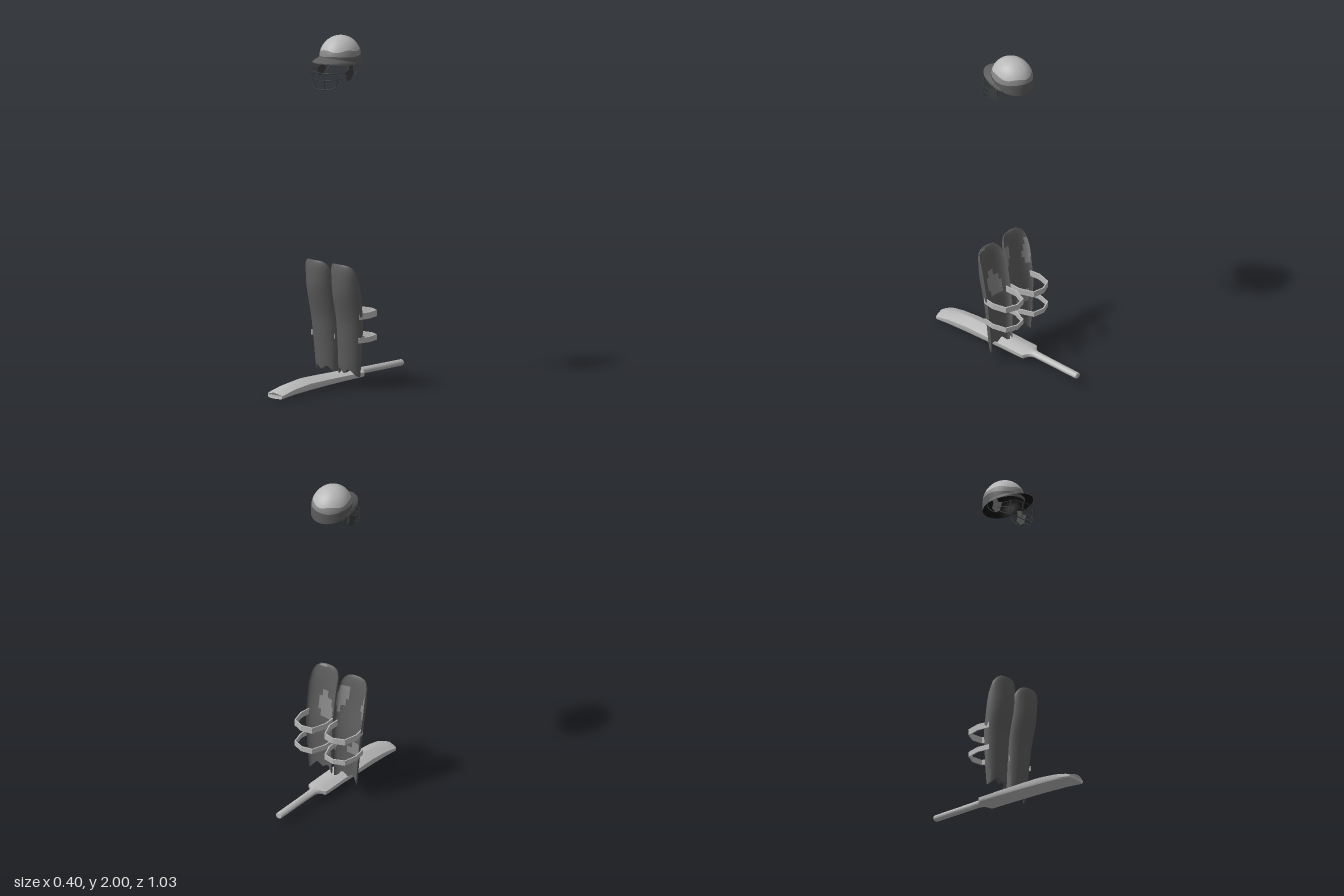
import * as THREE from 'three';
import { toCreasedNormals } from 'three/addons/utils/BufferGeometryUtils.js';

const mat = (name, color, side = THREE.FrontSide) => {
  const m = new THREE.MeshStandardMaterial({ color, side });
  m.name = name;
  return m;
};
const lerp = THREE.MathUtils.lerp;
const range = (n, f) => Array.from({ length: n + 1 }, (_, i) => f(i / n, i));

// Skin through cross-sections; pick() sends a quad to the first or second material
function loft(rings, { caps = true, closed = true, crease = 0.7, pick = () => 0 } = {}) {
  const m = rings[0].length, faces = [[], []];
  const quad = (k, a, b, c, d) => faces[k].push(a, b, c, a, c, d);
  for (let r = 0; r < rings.length - 1; r++) {
    for (let i = 0; i < (closed ? m : m - 1); i++) {
      const j = (i + 1) % m, p = r * m, q = p + m;
      quad(pick(r, i), p + i, p + j, q + j, q + i);
    }
  }
  if (caps) {
    const e = (rings.length - 1) * m;
    for (let i = 0; i < m / 2 - 1; i++) {
      const l = m - 1 - i;
      quad(0, l, l - 1, i + 1, i);
      quad(0, e + i, e + i + 1, e + l - 1, e + l);
    }
  }
  const g = new THREE.BufferGeometry();
  g.setAttribute('position', new THREE.Float32BufferAttribute(rings.flat(2), 3));
  g.setIndex(faces.flat());
  g.addGroup(0, faces[0].length, 0);
  if (faces[1].length) g.addGroup(faces[0].length, faces[1].length, 1);
  else g.clearGroups();
  return toCreasedNormals(g, crease);
}

// Piecewise-linear lookup in rows sorted by their first number
function sample(rows, t) {
  let i = 0;
  while (i < rows.length - 2 && t > rows[i + 1][0]) i++;
  const a = rows[i], b = rows[i + 1], f = (t - a[0]) / (b[0] - a[0]);
  return a.map((v, k) => lerp(v, b[k], f));
}

export function createModel() {
  const model = new THREE.Group();
  const light = mat('light grey', 0xb8b8b8);
  const mid = mat('mid grey', 0x868686);
  const dark = mat('dark grey', 0x5c5c5c);
  const black = mat('black lining', 0x101010);
  const wire = mat('guard metal', 0x3c3c3c, THREE.DoubleSide);
  const add = (parent, name, geo, material) => {
    const mesh = new THREE.Mesh(geo, material);
    mesh.name = name;
    parent.add(mesh);
    return mesh;
  };
  const group = (name) => {
    const g = new THREE.Group();
    g.name = name;
    model.add(g);
    return g;
  };

  // Bat: round handle blending into a ridged blade
  const blade = [[0, 0], [0.6, 0.01], [0.93, 0.06], [1, 0.2], [1, 0.6], [0.55, 0.82], [0, 1]];
  const round = range(6, (t) => [Math.sin(t * Math.PI), 0.5 - 0.5 * Math.cos(t * Math.PI)]);
  // z, half width, bottom, top, blade amount
  const batRows = [
    [-0.515, 0.018, 0.047, 0.078, 0], [-0.51, 0.021, 0.044, 0.081, 0], [-0.3, 0.021, 0.043, 0.081, 0],
    [-0.2, 0.023, 0.042, 0.081, 0], [-0.18, 0.031, 0.041, 0.082, 0.2], [-0.165, 0.045, 0.04, 0.083, 0.6],
    [-0.155, 0.06, 0.038, 0.084, 1], [-0.14, 0.063, 0.037, 0.084, 1], [0, 0.063, 0.033, 0.086, 1],
    [0.15, 0.063, 0.027, 0.087, 1], [0.28, 0.063, 0.02, 0.087, 1], [0.4, 0.063, 0.012, 0.069, 1],
    [0.47, 0.063, 0.005, 0.047, 1], [0.495, 0.061, 0.001, 0.038, 1], [0.503, 0.056, 0, 0.034, 1],
  ];
  const batRings = batRows.map(([z, w, lo, hi, k], r) => {
    const half = blade.map((b, i) => {
      const x = lerp(round[i][0], b[0], k), y = lerp(round[i][1], b[1], k);
      const toe = r > 12 ? 0.009 * (1 - x * x) : 0;
      return [w * x, lerp(lo, hi, y), z + toe];
    });
    return [...half, ...half.map(([x, y, z2]) => [-x, y, z2]).reverse()];
  });
  add(model, 'bat', loft(batRings, { crease: 0.6 }), light);

  // Leg pads: y, half width, front z, back z, centre x
  const padRows = [
    [0.07, 0.076, 0.043, -0.013, 0.087], [0.2, 0.083, 0.051, -0.015, 0.092],
    [0.39, 0.092, 0.068, -0.01, 0.098], [0.55, 0.095, 0.105, 0.014, 0.1],
    [0.62, 0.094, 0.108, 0.028, 0.1], [0.68, 0.088, 0.105, 0.052, 0.1],
    [0.705, 0.075, 0.1, 0.068, 0.1], [0.716, 0.058, 0.097, 0.08, 0.1], [0.72, 0.035, 0.095, 0.088, 0.1],
  ];
  const padLevels = [0.07, 0.13, 0.17, 0.21, 0.25, 0.29, 0.33, 0.37, 0.41, 0.45, 0.49, 0.53, 0.57,
    0.61, 0.65, 0.68, 0.705, 0.716, 0.72];
  const across = range(16, (t) => Math.sin((t - 0.5) * Math.PI));
  const notch = [[0, 0.022], [0.5, 0.048], [1, 0]];
  for (const s of [1, -1]) {
    const pad = group(s > 0 ? 'leftLegPad' : 'rightLegPad');
    const rings = padLevels.map((y) => {
      const [, hw, zf, zb, cx] = sample(padRows, y);
      const point = (u, depth) => {
        const arc = Math.sqrt(Math.max(0, 1 - u * u));
        return [s * cx + hw * u, y + (y < 0.1 ? sample(notch, Math.abs(u))[1] : 0), lerp(zb, zf, arc * depth)];
      };
      return [...across.map((u) => point(u, 1)), ...across.map((u) => point(u, 0.45)).reverse()];
    });
    // Irregular pale patches on the back
    const patch = (r, i) => (i > 16 && r > 3 && r < 17
      && Math.sin(r * 0.75 + s) + Math.sin((i - 16) * 0.55 * s + r * 0.3) > 0.95 ? 1 : 0);
    add(pad, 'padShell', loft(rings, { pick: patch }), [dark, mid]);

    // Two straps behind each pad
    const path = [[0.184, 0.02], [0.194, -0.05], [0.174, -0.13], [0.11, -0.156], [0.045, -0.143],
      [0.014, -0.06], [0.016, 0.012]];
    for (const [y, h] of [[0.422, 0.018], [0.285, 0.015]]) {
      const ribbon = path.map(([x, z]) => {
        const d = new THREE.Vector2(x - 0.105, z + 0.05).normalize().multiplyScalar(0.004);
        const at = (v, o) => [s * (x + d.x * o), y + h * v, z + d.y * o];
        return [at(1, 1), at(-1, 1), at(-1, -1), at(1, -1)];
      });
      if (s < 0) ribbon.reverse();
      add(pad, 'strap', loft(ribbon, { crease: 0.3 }), light);
    }
  }

  // Helmet shell in three colour bands
  const helmet = group('helmet');
  const TAU = Math.PI * 2, N = 40;
  const shell = (a, y, k = 1) => {
    const h = Math.max(0, (y - 1.88) / 0.12);
    const w = Math.sqrt(Math.max(0, 1 - h * h)) * k;
    return [0.11 * w * Math.sin(a), y, -0.02 + 0.125 * w * Math.cos(a)];
  };
  const around = (f) => range(N - 1, (_, i) => f((i / N) * TAU));
  const rim = (a) => 1.847 + 0.16 * (-0.02 + 0.125 * Math.cos(a));
  const lowLine = (a) => 1.893 + 0.004 * Math.sin(3 * a);
  const highLine = (a) => 1.924 + 0.005 * Math.cos(5 * a);
  const band = (lo, hi, n) => loft(range(n, (t) => around((a) => shell(a, lerp(lo(a), hi(a), t)))),
    { caps: false, crease: 1 });
  add(helmet, 'lowerBand', band(rim, lowLine, 4), dark);
  add(helmet, 'middleBand', band(lowLine, highLine, 3), mid);
  add(helmet, 'crown', loft(range(10, (t) => around((a) => {
    const start = Math.asin((highLine(a) - 1.88) / 0.12);
    return shell(a, 1.88 + 0.12 * Math.sin(lerp(start, Math.PI / 2, t)));
  })), { caps: false, crease: 1 }), light);
  add(helmet, 'lining', loft(range(10, (t, i) => around((a) => shell(-a,
    lerp(rim(a), 1.994, Math.sin(t * Math.PI / 2)), i ? 0.95 : 1))), { caps: false, crease: 1 }), black);

  // Peak with a black underside
  const peakRing = (t, drop) => range(24, (f) => {
    const a = lerp(-1.65, 1.65, f), c = Math.max(0, Math.cos(a));
    const inner = shell(a, lerp(1.862, 1.888, c), 0.99);
    const outer = [0.115 * Math.sin(a), lerp(1.848, 1.868, c), -0.02 + 0.19 * Math.cos(a) * (c ? 1 : 0.66)];
    return inner.map((v, k) => lerp(v, outer[k], t) - (k === 1 ? drop : 0));
  });
  const open = { caps: false, closed: false };
  add(helmet, 'peak', loft([peakRing(1, 0.005), peakRing(1, 0), peakRing(0.5, -0.002), peakRing(0, 0)], open), dark);
  add(helmet, 'peakUnderside', loft([peakRing(0, 0.005), peakRing(1, 0.005)], open), black);

  // Face guard: front y, back y, front z, half width
  const bars = [[1.81, 1.81, 0.155, 0.109], [1.768, 1.787, 0.155, 0.113], [1.712, 1.765, 0.142, 0.1]];
  const barPoint = ([yf, yb, zf, w], a) => {
    const c = Math.pow(Math.max(0, Math.cos(a)), 0.7);
    const sn = Math.sign(a) * Math.pow(Math.abs(Math.sin(a)), 0.8);
    return new THREE.Vector3(w * sn, lerp(yb, yf, c), lerp(0.035, zf, c));
  };
  const tube = (name, pts, n) => add(helmet, name,
    new THREE.TubeGeometry(new THREE.CatmullRomCurve3(pts), n, 0.0022, 6), wire);
  for (const bar of bars) tube('guardBar', range(24, (t) => barPoint(bar, (t - 0.5) * Math.PI)), 48);
  for (const a of [-1.05, -0.3, 0.3, 1.05]) tube('guardUpright', bars.map((b) => barPoint(b, a)), 8);

  // Side brackets joining the guard to the shell
  const bracket = new THREE.Shape([[0.02, 1.855], [-0.015, 1.855], [-0.005, 1.825], [-0.015, 1.795],
    [0.015, 1.762], [0.04, 1.765], [0.055, 1.812], [0.025, 1.825]].map(([z, y]) => new THREE.Vector2(-z, y)));
  for (const s of [1, -1]) {
    const plate = add(helmet, 'guardBracket',
      new THREE.ExtrudeGeometry(bracket, { depth: 0.006, bevelEnabled: false }), wire);
    plate.rotation.y = Math.PI / 2;
    plate.position.x = s * 0.109 - 0.003;
    tube('guardLoop', [[-0.045, 1.85], [-0.05, 1.82], [-0.03, 1.79], [0.01, 1.766]]
      .map(([z, y]) => new THREE.Vector3(s * 0.108, y, z)), 12);
  }
  return model;
}
